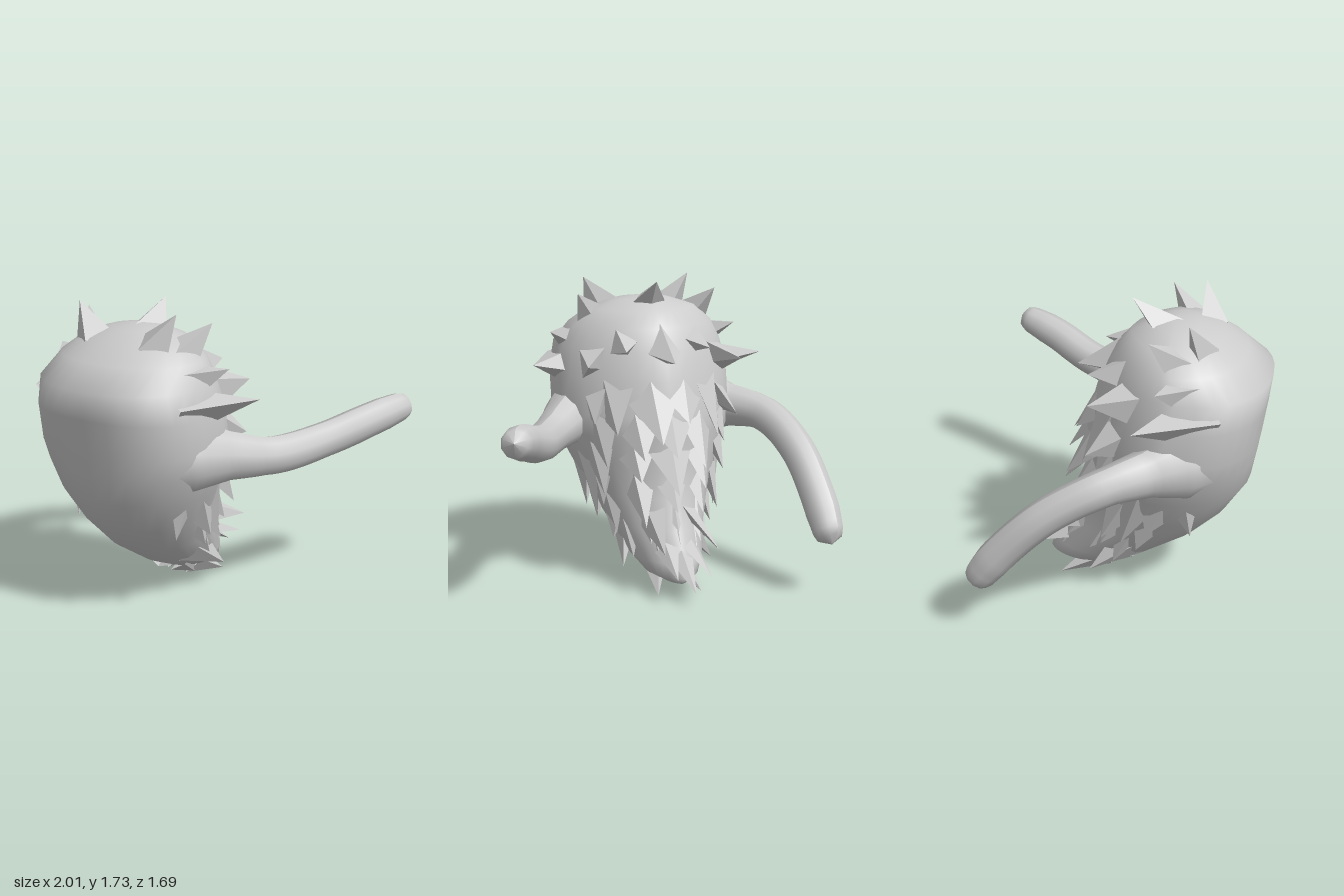
import * as THREE from 'three';

const CX = -0.12;
const V = (x, y, z) => new THREE.Vector3(x, y, z);
const grey = (opts = {}) => new THREE.MeshStandardMaterial({ color: 0xcccccc, side: THREE.DoubleSide, ...opts });

// Body levels: height, half width, front z, back z
const LEVELS = [
  [0.08, 0.07, -0.1, -0.38], [0.12, 0.15, 0.02, -0.42], [0.2, 0.21, 0.2, -0.4],
  [0.36, 0.28, 0.45, -0.31], [0.53, 0.36, 0.62, -0.23], [0.72, 0.45, 0.74, -0.19],
  [0.88, 0.51, 0.77, -0.2], [1.0, 0.53, 0.79, -0.19], [1.2, 0.53, 0.82, -0.14],
  [1.36, 0.5, 0.84, -0.09], [1.48, 0.43, 0.7, -0.02], [1.57, 0.32, 0.57, 0.06], [1.62, 0.16, 0.44, 0.18],
];

// Point on the body at height y; angle 0 = left side, PI/2 = back, -PI/2 = front
function bodyPoint(y, a) {
  let i = 0;
  while (i < LEVELS.length - 2 && y > LEVELS[i + 1][0]) i++;
  const A = LEVELS[i], B = LEVELS[i + 1], t = (y - A[0]) / (B[0] - A[0]);
  const [hw, zf, zb] = [1, 2, 3].map(k => A[k] + (B[k] - A[k]) * t);
  const mid = (zf + zb) / 2, half = (zf - zb) / 2;
  const c = Math.cos(a), s = Math.sin(a);
  // full cheeks at mid height, rounder above and below, wedge-shaped back
  const p = s < 0 ? 0.75 + Math.min(0.2, Math.abs(y - 1.1) * 0.5) : 1.2;
  const bend = v => Math.sign(v) * Math.abs(v) ** p;
  return V(CX + hw * bend(c), y, mid - half * bend(s));
}

function bodyGeometry(n = 32) {
  const pos = [], idx = [];
  for (const [y] of LEVELS)
    for (let j = 0; j < n; j++) pos.push(...bodyPoint(y, j / n * Math.PI * 2).toArray());
  for (let i = 0; i < LEVELS.length - 1; i++)
    for (let j = 0; j < n; j++) {
      const a = i * n + j, b = i * n + (j + 1) % n;
      idx.push(a, b, b + n, a, b + n, a + n);
    }
  // closed top and bottom
  const bottom = pos.length / 3, top = bottom + 1, last = (LEVELS.length - 1) * n;
  pos.push(CX, 0.07, -0.24, CX, 1.64, 0.3);
  for (let j = 0; j < n; j++) {
    const k = (j + 1) % n;
    idx.push(bottom, k, j, top, last + j, last + k);
  }
  const g = new THREE.BufferGeometry();
  g.setAttribute('position', new THREE.Float32BufferAttribute(pos, 3));
  g.setIndex(idx);
  g.computeVertexNormals();
  return g;
}

// Broad pyramid tuft whose outer ridge runs from a root on the skin to the tip
const furMaterial = grey({ flatShading: true });
function tuft(root, tip, width, thick) {
  const axis = V(CX, Math.min(root.y, 1.1), Math.min(0.3, root.y * 0.5 - 0.15));
  const out = root.clone().sub(axis).normalize().multiplyScalar(thick);
  const base = root.clone().sub(out);
  const dir = tip.clone().sub(base);
  const side = dir.clone().cross(out).normalize().multiplyScalar(width);
  const g = new THREE.ConeGeometry(1, 1, 4, 1, true).translate(0, 0.5, 0);
  g.applyMatrix4(new THREE.Matrix4().makeBasis(side, dir, out).setPosition(base));
  const m = new THREE.Mesh(g, furMaterial);
  m.name = 'furTuft';
  return m;
}

// Tapered limb swept along a curve, with a blunt rounded tip
function limb(name, points, radii) {
  const curve = new THREE.CatmullRomCurve3(points.map(p => V(...p)));
  const rings = 40, sides = 10;
  const g = new THREE.TubeGeometry(curve, rings, 1, sides, false);
  const pos = g.attributes.position, v = V(0, 0, 0);
  for (let i = 0; i <= rings; i++) {
    const u = i / rings, c = curve.getPointAt(u);
    const f = u * (radii.length - 1), k = Math.min(Math.floor(f), radii.length - 2);
    const cap = Math.sqrt(1 - Math.max(0, (u - 0.95) / 0.05) ** 2) || 0;
    const r = (radii[k] + (radii[k + 1] - radii[k]) * (f - k)) * cap;
    for (let j = 0; j <= sides; j++) {
      const q = i * (sides + 1) + j;
      v.fromBufferAttribute(pos, q).sub(c).multiplyScalar(r).add(c);
      pos.setXYZ(q, v.x, v.y, v.z);
    }
  }
  g.computeVertexNormals();
  const m = new THREE.Mesh(g, grey());
  m.name = name;
  return m;
}

export function createModel() {
  const model = new THREE.Group();
  model.name = 'furryCreature';

  const body = new THREE.Mesh(bodyGeometry(), grey());
  body.name = 'body';
  model.add(body);

  const fur = new THREE.Group();
  fur.name = 'fur';
  model.add(fur);

  // Large mirrored tufts: root, tip (x from the centre line), width, thickness
  const pairs = [
    // crown and cheeks
    [[0.18, 1.56, 0.56], [0.325, 1.74, 0.42], 0.2, 0.18],
    [[0.31, 1.5, 0.5], [0.42, 1.67, 0.22], 0.2, 0.18],
    [[0.39, 1.44, 0.55], [0.57, 1.45, 0.28], 0.18, 0.2],
    [[0.49, 1.28, 0.62], [0.7, 1.28, 0.18], 0.16, 0.25],
    // back of the head
    [[0.42, 1.36, 0.22], [0.46, 1.3, -0.1], 0.2, 0.15],
    [[0.24, 1.5, 0.12], [0.25, 1.38, -0.14], 0.18, 0.14],
    [[0.42, 1.14, 0.14], [0.43, 0.98, -0.12], 0.2, 0.12],
    // ragged hem
    [[0.14, 0.14, -0.1], [0.13, 0.01, -0.34], 0.09, 0.08],
    [[0.14, 0.17, 0.08], [0.08, 0.05, -0.11], 0.09, 0.06],
    [[0.08, 0.32, -0.29], [0.1, 0.17, -0.58], 0.1, 0.1],
    [[0.14, 0.48, -0.16], [0.16, 0.31, -0.53], 0.13, 0.1],
    [[0.25, 0.32, 0.12], [0.27, 0.14, -0.14], 0.12, 0.07],
    // upper flanks
    [[0.44, 0.82, 0.42], [0.34, 0.48, 0.45], 0.13, 0.07],
    [[0.46, 0.84, 0.2], [0.36, 0.4, 0.06], 0.16, 0.07],
  ];
  for (const [b, t, w, d] of pairs)
    for (const s of [-1, 1])
      fur.add(tuft(V(CX + s * b[0], b[1], b[2]), V(CX + s * t[0], t[1], t[2]), w, d));

  // Tufts on the centre line
  for (const [b, t, w, d] of [
    [[1.635, 0.34], [1.74, 0.06], 0.2, 0.16],
    [[1.52, 0.02], [1.32, -0.25], 0.2, 0.16],
    [[0.28, -0.35], [0.09, -0.6], 0.1, 0.1],
  ]) fur.add(tuft(V(CX, ...b), V(CX, ...t), w, d));

  // Overlapping rows of drooping tufts: height, count, length, width, spread round the back
  const rows = [[1.2, 4, 0.34, 0.2, 0.32], [1.02, 5, 0.3, 0.17, 0.36], [0.84, 5, 0.28, 0.15, 0.4],
    [0.68, 7, 0.28, 0.13, 0.62], [0.54, 7, 0.25, 0.11, 0.62], [0.4, 7, 0.2, 0.09, 0.58]];
  rows.forEach(([y, count, len, w, spread], r) => {
    for (let j = 0; j < count; j++) {
      const a = Math.PI * (0.5 + spread * (2 * (j + 0.5) / count - 1));
      const root = bodyPoint(y, a);
      const l = len * (1 + 0.2 * Math.sin(j * 2.4 + r));
      // flank tufts hug the tapering body, rear ones stand off it
      const tip = root.clone().add(V(-Math.cos(a) * l * 0.14, -l * 0.85, -l * 0.45));
      fur.add(tuft(root, tip, w, 0.07));
    }
  });

  // Arms, flaring into the shoulders
  model.add(limb('leftArm', [[0.12, 0.96, 0.5], [0.36, 0.94, 0.24], [0.55, 0.91, -0.02], [0.7, 0.95, -0.34],
    [0.85, 1.03, -0.6], [0.965, 1.09, -0.85]],
    [0.21, 0.2, 0.14, 0.11, 0.105, 0.1, 0.1, 0.095, 0.075]));
  model.add(limb('rightArm', [[-0.36, 0.96, 0.5], [-0.61, 0.96, 0.26], [-0.79, 0.93, 0.02], [-0.87, 0.78, -0.26],
    [-0.895, 0.55, -0.5], [-0.9, 0.32, -0.68]],
    [0.21, 0.2, 0.13, 0.105, 0.1, 0.1, 0.1, 0.1, 0.08]));

  return model;
}
